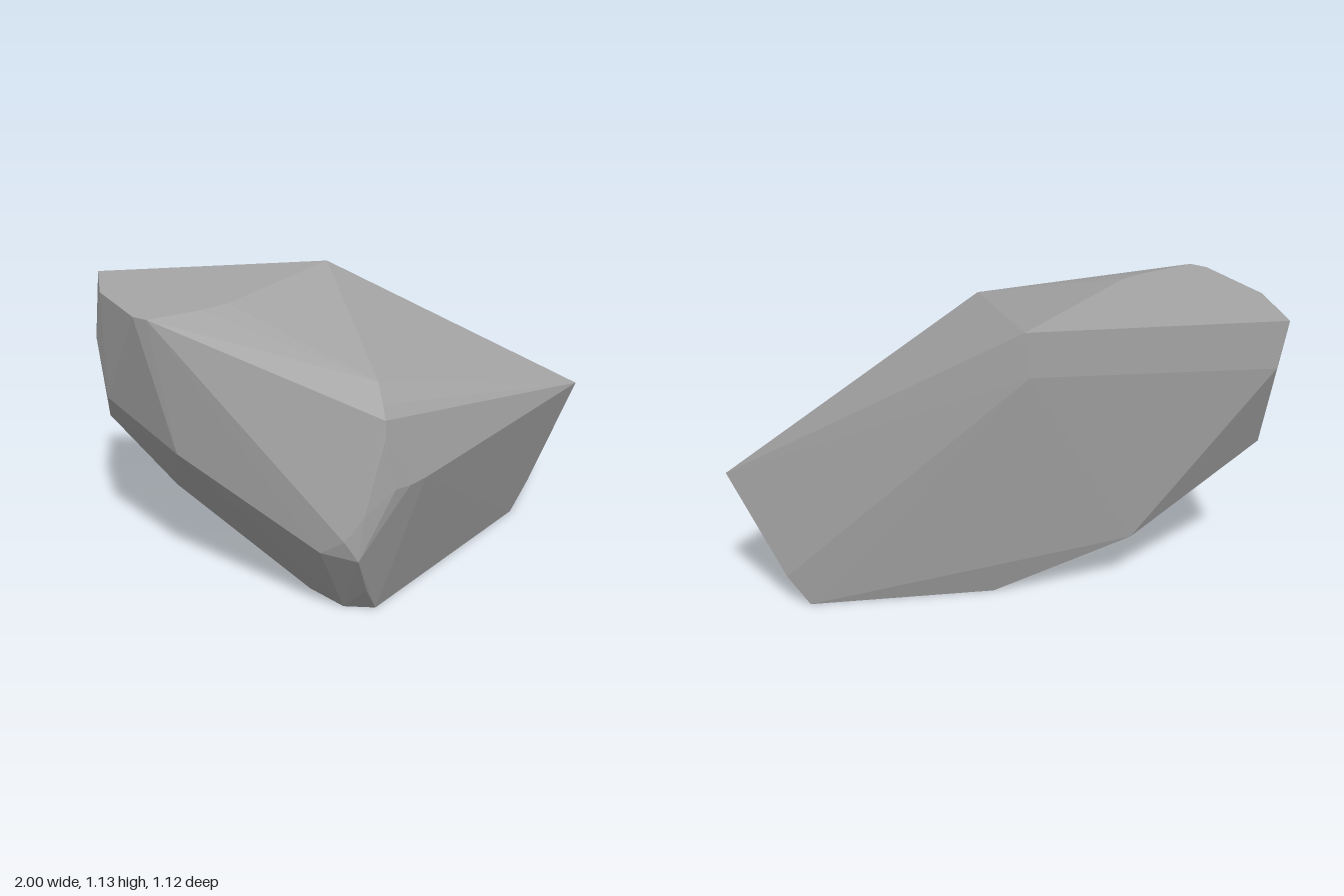
import * as THREE from 'three';
import { ConvexGeometry } from 'three/addons/geometries/ConvexGeometry.js';

// corners of one level or edge, as [x, y, z]
const crown = [ // flat top
  [-0.98, 1.13, -0.56], [-0.05, 1.13, -0.56], [-0.5, 1.13, -0.05], [-0.6, 1.13, 0.01],
  [-0.8, 1.13, 0.095], [-0.85, 1.13, 0.05], [-0.97, 1.13, -0.27],
];
const base = [ // flat underside
  [0.73, 0, -0.38], [0.03, 0, -0.37], [-0.23, 0, 0.15], [-0.12, 0, 0.31], [0.0, 0, 0.34],
];
const back = [[-0.07, 0.96, -0.555], [-0.95, 0.95, -0.555], [-0.48, 0.24, -0.44]];
const leftSide = [
  [-1, 0.92, -0.36], [-0.97, 0.7, -0.26], [-0.97, 0.58, -0.37], [-0.72, 0.32, -0.22],
  [-0.72, 0.6, 0.11], [-0.23, 0.33, 0.475],
];
const rightSide = [[1, 0.585, -0.4], [0.81, 0.14, -0.4], [0.17, 0.585, 0.43]];
const nose = [ // worn front edge, from top to bottom
  [0, 0.95, 0.38], [0, 0.9, 0.475], [0, 0.86, 0.527], [0, 0.8, 0.537],
  [0.04, 0.59, 0.525], [0.1, 0.585, 0.488], [-0.08, 0.5, 0.555], [-0.15, 0.4, 0.542],
  [-0.1, 0.32, 0.55], [-0.05, 0.13, 0.43],
];

export function createModel() {
  const group = new THREE.Group();
  group.name = 'rock';
  const stone = new THREE.MeshStandardMaterial({ color: 0xa6a6a6, flatShading: true });
  stone.name = 'grey stone';

  // single faceted boulder wrapped around its corners
  const corners = [crown, base, back, leftSide, rightSide, nose].flat()
    .map((p) => new THREE.Vector3(...p));
  const boulder = new THREE.Mesh(new ConvexGeometry(corners), stone);
  boulder.name = 'boulder';
  group.add(boulder);
  return group;
}
